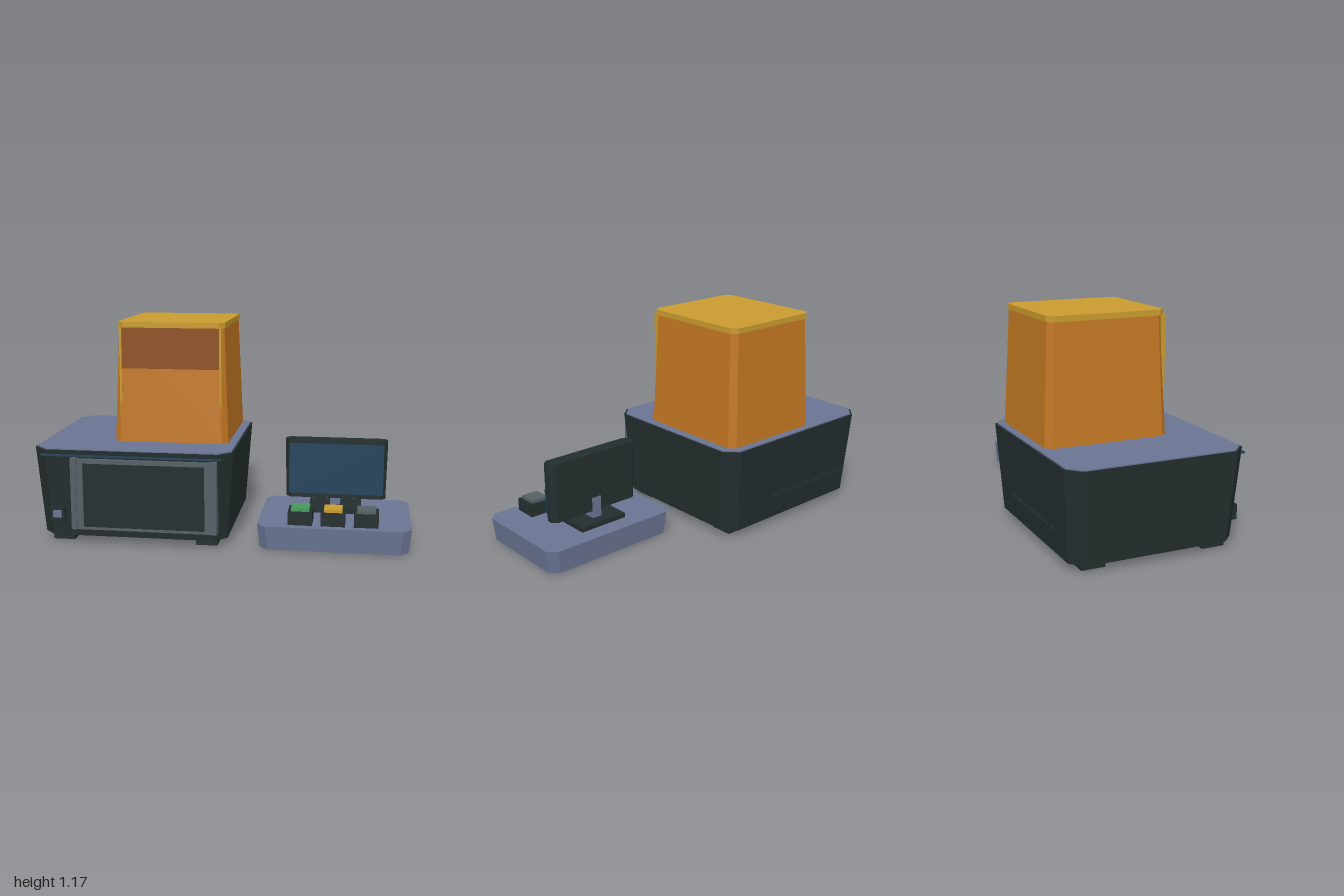
import * as THREE from 'three';

const mat = (name, color) => {
  const m = new THREE.MeshStandardMaterial({ color });
  m.name = name;
  return m;
};

export function createModel() {
  const dark = mat('dark casing', 0x232d2e);
  const blue = mat('slate blue panel', 0x6a7492);
  const orange = mat('amber hood', 0xc27722);
  const brown = mat('brown window', 0x8c4b0e);
  const yellow = mat('yellow trim', 0xc99b2e);
  const grey = mat('grey frame', 0x565f65);
  const navy = mat('navy screen', 0x22425a);
  const green = mat('green button', 0x459a5c);

  const model = new THREE.Group();
  const group = (name) => {
    const g = new THREE.Group();
    g.name = name;
    model.add(g);
    return g;
  };
  const add = (parent, name, geo, material) => {
    const m = new THREE.Mesh(geo, material);
    m.name = name;
    parent.add(m);
    return m;
  };
  // Box given by its lower and upper limits on each axis
  const box = (parent, name, material, x0, x1, y0, y1, z0, z1) =>
    add(parent, name, new THREE.BoxGeometry(x1 - x0, y1 - y0, z1 - z0), material)
      .position.set((x0 + x1) / 2, (y0 + y1) / 2, (z0 + z1) / 2);

  // Block with cut vertical corners; its foot is the top outline grown by dx and dz on each side
  const block = (parent, name, material, x0, x1, y0, y1, z0, z1, cut, dx = 0, dz = 0) => {
    const a = (x1 - x0) / 2, b = (z1 - z0) / 2;
    const shape = new THREE.Shape([
      [a, -b + cut], [a, b - cut], [a - cut, b], [-a + cut, b],
      [-a, b - cut], [-a, -b + cut], [-a + cut, -b], [a - cut, -b],
    ].map(([x, y]) => new THREE.Vector2(x, y)));
    const geo = new THREE.ExtrudeGeometry(shape, { depth: y1 - y0, bevelEnabled: false });
    geo.rotateX(-Math.PI / 2);
    const p = geo.attributes.position;
    for (let i = 0; i < p.count; i++) {
      if (p.getY(i) > 1e-6) continue;
      p.setX(i, p.getX(i) * (a + dx) / a);
      p.setZ(i, p.getZ(i) * (b + dz) / b);
    }
    geo.computeVertexNormals();
    add(parent, name, geo, material).position.set((x0 + x1) / 2, y0, (z0 + z1) / 2);
  };

  // Main machine body
  const machine = group('machine');
  block(machine, 'body', dark, -1, 0.07, 0.04, 0.514, -0.49, 0.476, 0.07, -0.035, -0.034);
  block(machine, 'topPanel', blue, -0.99, 0.06, 0.51, 0.52, -0.48, 0.466, 0.066);
  for (const x of [-0.86, -0.075])
    for (const z of [-0.333, 0.333])
      box(machine, 'foot', dark, x - 0.058, x + 0.058, 0, 0.05, z - 0.063, z + 0.063);
  for (let i = 0; i < 7; i++) {
    const x = -0.794 + i * 0.0848;
    box(machine, 'vent', dark, x - 0.028, x + 0.028, 0.184, 0.197, -0.502, -0.49);
  }
  box(machine, 'frontStripe', navy, -0.95, 0.015, 0.482, 0.492, 0.465, 0.481);
  box(machine, 'socket', dark, -0.908, -0.83, 0.125, 0.205, 0.43, 0.476);
  box(machine, 'socketInsert', blue, -0.892, -0.846, 0.145, 0.186, 0.47, 0.481);

  // Front door: grey frame around a dark panel, with a rail on each side
  const door = group('door');
  const rect = (S, x0, x1, y0, y1) => new S([[x0, y0], [x1, y0], [x1, y1], [x0, y1]]
    .map(([x, y]) => new THREE.Vector2(x, y)));
  const frame = rect(THREE.Shape, -0.755, -0.035, 0.09, 0.473);
  frame.holes.push(rect(THREE.Path, -0.72, -0.07, 0.103, 0.45));
  add(door, 'doorFrame', new THREE.ExtrudeGeometry(frame, { depth: 0.054, bevelEnabled: false }), grey)
    .position.z = 0.44;
  box(door, 'doorPanel', dark, -0.725, -0.065, 0.1, 0.455, 0.43, 0.488);
  for (const x of [-0.77, -0.02])
    box(door, 'doorRail', grey, x - 0.015, x + 0.015, 0.09, 0.478, 0.43, 0.5);

  // Amber hood with cap, window and upright trim
  const hood = group('hood');
  block(hood, 'hoodShell', orange, -0.585, -0.01, 0.518, 1.142, -0.415, 0.212, 0.03, 0.025, 0.025);
  block(hood, 'hoodCap', yellow, -0.59, -0.005, 1.14, 1.17, -0.42, 0.22, 0.03);
  const slope = Math.atan(0.025 / 0.624);
  const pane = add(hood, 'hoodWindow', new THREE.BoxGeometry(0.53, 0.22, 0.006), brown);
  pane.position.set(-0.2975, 1.03, 0.2175);
  pane.rotation.x = -slope;
  for (const x of [-0.57, -0.025])
    box(hood, 'hoodTrim', yellow, x - 0.006, x + 0.006, 0.6, 1.145, 0.205, 0.228);

  // Control console with buttons
  const console_ = group('console');
  block(console_, 'consoleBase', blue, 0.195, 1, 0.006, 0.133, -0.16, 0.446, 0.045, -0.014, -0.01);
  for (const x of [0.268, 0.927])
    for (const z of [-0.062, 0.347])
      box(console_, 'consoleFoot', dark, x - 0.028, x + 0.028, 0, 0.012, z - 0.037, z + 0.037);
  [[0.42, green], [0.592, yellow], [0.765, grey]].forEach(([x, m]) => {
    box(console_, 'buttonHousing', dark, x - 0.064, x + 0.064, 0.13, 0.204, 0.27, 0.4);
    box(console_, 'button', m, x - 0.048, x + 0.048, 0.2, 0.22, 0.284, 0.386);
  });

  // Monitor on its stand
  const monitor = group('monitor');
  box(monitor, 'standPlate', dark, 0.45, 0.735, 0.13, 0.159, -0.063, 0.152);
  box(monitor, 'standNeck', blue, 0.565, 0.62, 0.155, 0.275, -0.004, 0.07);
  block(monitor, 'monitorCase', dark, 0.315, 0.873, 0.2, 0.525, 0, 0.082, 0.025, -0.006, 0);
  box(monitor, 'screen', navy, 0.337, 0.853, 0.225, 0.505, 0.081, 0.09);

  return model;
}
